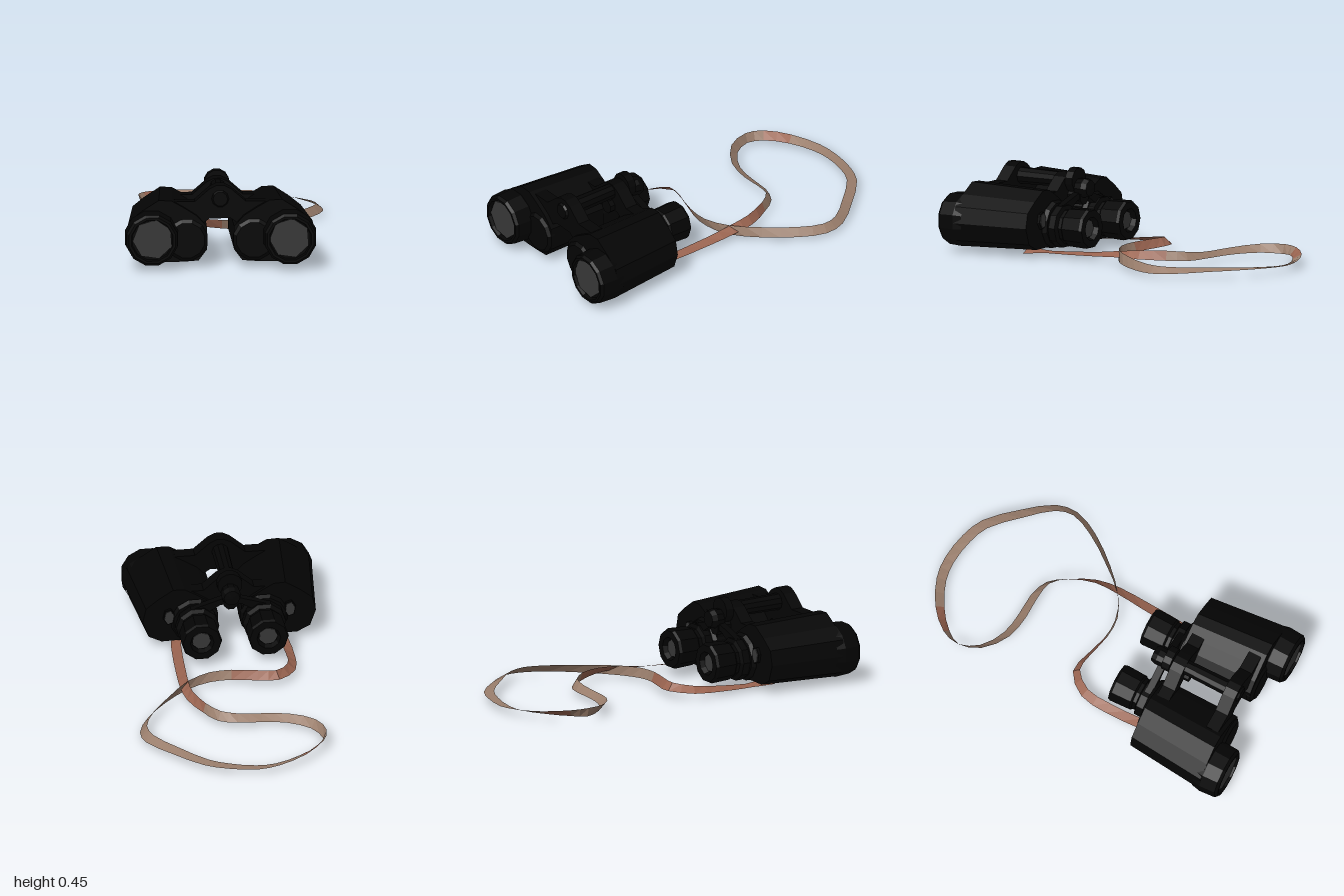
import * as THREE from 'three';

const AXIS = -0.05; // x of the central hinge

const mat = (name, color, extra = {}) => {
  const m = new THREE.MeshStandardMaterial({ color, flatShading: true, ...extra });
  m.name = name;
  return m;
};

export function createModel() {
  const root = new THREE.Group();
  root.name = 'binoculars';
  const black = mat('black rubber', 0x040404);
  const glass = mat('grey glass', 0x383838);
  const tan = mat('tan leather', 0x9a7e6c, { side: THREE.DoubleSide });
  const russet = mat('russet leather', 0x9a6450, { side: THREE.DoubleSide });

  const add = (name, geo, material, parent = root) => {
    const mesh = new THREE.Mesh(geo, material);
    mesh.name = name;
    parent.add(mesh);
    return mesh;
  };

  // Turned part along z from [radius, z] pairs, given from front to back
  const turned = (name, x, y, profile, sides, parent = root) => {
    const pts = profile.map(([r, z]) => new THREE.Vector2(r, -z)).reverse();
    if (pts[0].y > pts[pts.length - 1].y) pts.reverse();
    const geo = new THREE.LatheGeometry(pts, sides, Math.PI / sides);
    geo.rotateX(-Math.PI / 2).translate(x, y, 0);
    return add(name, geo, black, parent);
  };

  // Flat outline pushed from z0 to z1
  const slab = (points, z0, z1) => {
    const shape = new THREE.Shape(points.map(([x, y]) => new THREE.Vector2(x, y)));
    return new THREE.ExtrudeGeometry(shape, { depth: z1 - z0, bevelEnabled: false }).translate(0, 0, z0);
  };

  // Thin lens or plate across z
  const disc = (name, x, y, z, rx, ry, sides, parent, material = glass, depth = 0.006) => {
    const geo = new THREE.CylinderGeometry(1, 1, depth, sides);
    geo.rotateX(Math.PI / 2).rotateZ(0.3).scale(rx, ry, 1).translate(x, y, z);
    return add(name, geo, material, parent);
  };

  // Prism housing outline: distance from hinge axis, height
  const housing = [
    [0.075, 0.10], [0.12, 0.04], [0.20, 0.034], [0.41, 0.03], [0.49, 0.07], [0.525, 0.17],
    [0.505, 0.26], [0.43, 0.32], [0.34, 0.378], [0.27, 0.375], [0.20, 0.335], [0.13, 0.29], [0.075, 0.23],
  ];

  for (const s of [-1, 1]) {
    const half = new THREE.Group();
    half.name = s > 0 ? 'leftBarrel' : 'rightBarrel';
    root.add(half);
    const X = (u) => AXIS + s * u;

    // Housing, narrowing toward the back
    const body = slab(housing.map(([u, y]) => [s * u, y]), 0.435, 0.885);
    const p = body.attributes.position;
    for (let i = 0; i < p.count; i++) {
      const t = (0.885 - p.getZ(i)) / 0.45;
      p.setX(i, p.getX(i) * (1 - 0.085 * t));
      p.setY(i, 0.17 + (p.getY(i) - 0.17) * (1 - 0.08 * t));
    }
    body.translate(AXIS, 0, 0);
    body.computeVertexNormals();
    add('housing', body, black, half);

    // Objective ring with shallow recess, and front lens
    turned('objectiveRing', X(0.38), 0.175, [
      [0, 0.975], [0.112, 0.975], [0.118, 0.995], [0.132, 0.995], [0.145, 0.98], [0.151, 0.89], [0.14, 0.84],
    ], 12, half);
    disc('objectiveLens', X(0.376), 0.18, 0.981, 0.112, 0.112, 7, half);

    // Inner front cap and rear plate
    turned('frontCap', X(0.185), 0.155, [[0, 0.90], [0.1, 0.90], [0.118, 0.885], [0.118, 0.86]], 12, half);
    turned('rearPlate', X(0.192), 0.163, [[0.134, 0.53], [0.134, 0.43], [0.122, 0.41], [0, 0.41]], 12, half);

    // Small rear window on its lug
    disc('rearLug', X(0.335), 0.2, 0.435, 0.034, 0.05, 6, half, black, 0.03);
    disc('rearWindow', X(0.335), 0.2, 0.419, 0.027, 0.042, 6, half);

    // Eyepiece and its recessed lens
    turned('eyepiece', X(0.185), 0.155, [
      [0.115, 0.42], [0.12, 0.40], [0.12, 0.365], [0.098, 0.355], [0.098, 0.335], [0.108, 0.325],
      [0.113, 0.21], [0.106, 0.195], [0.066, 0.195], [0.055, 0.225], [0, 0.225],
    ], 10, half);
    disc('eyeLens', X(0.185), 0.155, 0.222, 0.052, 0.052, 7, half);

    // Arm from eyepiece to focus shaft
    add('eyepieceArm', slab([[X(0.16), 0.22], [X(0.06), 0.28], [X(0), 0.29], [X(0), 0.335], [X(0.2), 0.27]], 0.375, 0.415), black, half);
  }

  // Hinge bridges at front and rear
  const halfBridge = [[0.25, 0.32], [0.25, 0.365], [0.14, 0.365], [0.06, 0.435], [0.02, 0.455]];
  const bridgeOutline = (drop) => [
    ...halfBridge.map(([u, y]) => [AXIS + u, y - drop]),
    ...[...halfBridge].reverse().map(([u, y]) => [AXIS - u, y - drop]),
    [AXIS - 0.1, 0.24], [AXIS - 0.058, 0.27], [AXIS + 0.058, 0.27], [AXIS + 0.1, 0.24],
  ];
  add('frontBridge', slab(bridgeOutline(0), 0.785, 0.86), black);
  add('rearBridge', slab(bridgeOutline(0.03), 0.455, 0.53), black);

  // Hinge shaft, focus wheel and rear knob
  turned('hingeShaft', AXIS, 0.38, [[0, 0.872], [0.04, 0.872], [0.048, 0.86], [0.042, 0.46]], 10);
  turned('focusWheel', AXIS, 0.385, [[0, 0.452], [0.07, 0.452], [0.07, 0.405], [0, 0.405]], 12);
  turned('rearKnob', AXIS, 0.345, [[0, 0.41], [0.05, 0.41], [0.055, 0.36], [0.045, 0.33], [0, 0.325]], 10);
  turned('focusShaft', AXIS, 0.292, [[0, 0.56], [0.042, 0.56], [0.042, 0.37], [0, 0.37]], 8);

  // Strap centre line with sideways tilt: x, y, z, tilt
  const strapPath = [
    [-0.32, 0.02, 0.57, 2.7], [-0.345, 0.024, 0.4, 3.0], [-0.355, 0.038, 0.2, 2.75], [-0.34, 0.05, 0.05, 2.5],
    [-0.25, 0.062, -0.05, 2.34], [-0.14, 0.06, -0.035, 2.1], [0, 0.055, 0, 1.95], [0.12, 0.05, 0, 1.85],
    [0.25, 0.045, -0.06, 1.5], [0.38, 0.043, -0.19, 1.1], [0.5, 0.043, -0.35, 0.9], [0.56, 0.042, -0.49, 0.8],
    [0.54, 0.043, -0.6, 0.6], [0.42, 0.045, -0.75, 0.3], [0.27, 0.045, -0.9, 0.1], [0.15, 0.04, -0.95, 0],
    [0, 0.033, -0.974, -0.1], [-0.12, 0.035, -0.96, -0.3], [-0.27, 0.043, -0.89, -0.5], [-0.38, 0.05, -0.79, -0.85],
    [-0.417, 0.05, -0.7, -1.25], [-0.37, 0.05, -0.58, -0.9], [-0.24, 0.045, -0.49, -0.6], [-0.1, 0.045, -0.465, -0.5],
    [0.03, 0.05, -0.46, -0.6], [0.13, 0.055, -0.43, -1], [0.2, 0.06, -0.34, -1.25], [0.26, 0.06, -0.2, -0.9],
    [0.272, 0.055, -0.07, -0.55], [0.267, 0.04, 0.1, -0.3], [0.25, 0.024, 0.4, -0.1], [0.222, 0.015, 0.575, -0.56],
  ];
  const curve = new THREE.CatmullRomCurve3(strapPath.map(([x, y, z]) => new THREE.Vector3(x, y, z)));
  const last = strapPath.length - 1;
  const ribbon = (name, from, to, material) => {
    const pos = [], index = [], n = (to - from) * 2;
    for (let i = 0; i <= n; i++) {
      const k = from + i / 2, a = Math.floor(k), b = Math.min(a + 1, last);
      const tilt = THREE.MathUtils.lerp(strapPath[a][3], strapPath[b][3], k - a);
      const c = curve.getPoint(k / last), d = curve.getTangent(k / last).setY(0).normalize();
      const w = new THREE.Vector3(-d.z, 0, d.x).multiplyScalar(0.028 * Math.cos(tilt));
      w.y = -0.028 * Math.sin(tilt);
      pos.push(c.x + w.x, c.y + w.y, c.z + w.z, c.x - w.x, c.y - w.y, c.z - w.z);
      if (i < n) index.push(2 * i, 2 * i + 1, 2 * i + 2, 2 * i + 1, 2 * i + 3, 2 * i + 2);
    }
    const geo = new THREE.BufferGeometry();
    geo.setAttribute('position', new THREE.Float32BufferAttribute(pos, 3));
    geo.setIndex(index);
    geo.computeVertexNormals();
    add(name, geo, material);
  };
  ribbon('strapRightEnd', 0, 6, russet);
  ribbon('strapOuterLoop', 6, 18, tan);
  ribbon('strapPatch', 18, 19, russet);
  ribbon('strapInnerLoop', 19, 26, tan);
  ribbon('strapLeftEnd', 26, last, russet);

  return root;
}
